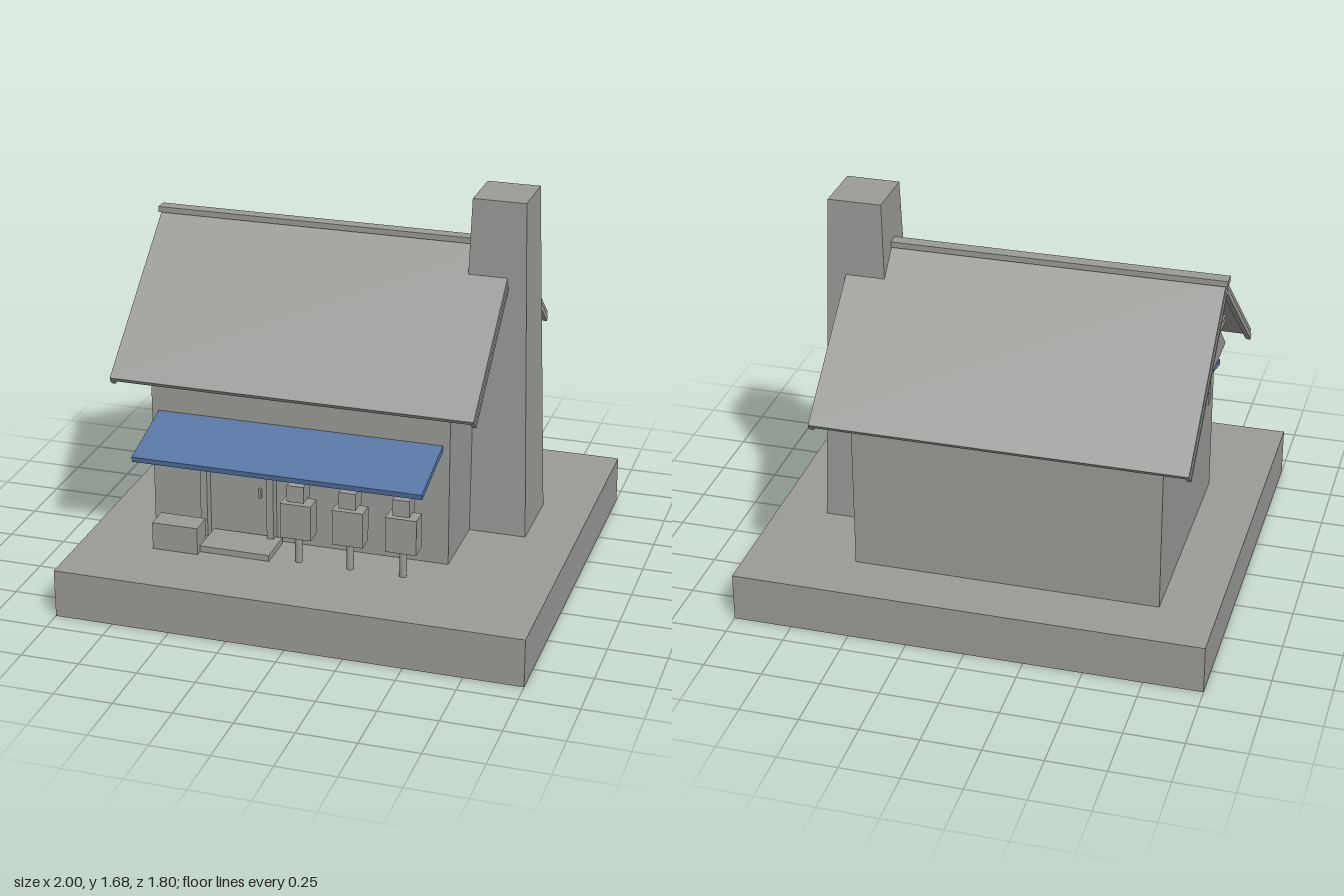
import * as THREE from 'three';

export function createModel() {
  const model = new THREE.Group();
  const grey = new THREE.MeshStandardMaterial({ color: 0x9a9a97 });
  grey.name = 'stone grey';
  const blue = new THREE.MeshStandardMaterial({ color: 0x5877a4 });
  blue.name = 'awning blue';
  const RIDGE_Z = -0.155;

  const add = (name, geometry, material = grey, parent = model) => {
    const mesh = new THREE.Mesh(geometry, material);
    mesh.name = name;
    parent.add(mesh);
    return mesh;
  };
  // Box given by its limits on each axis
  const box = (name, [x0, x1], [y0, y1], [z0, z1], parent = model) => {
    const g = new THREE.BoxGeometry(x1 - x0, y1 - y0, z1 - z0);
    g.translate((x0 + x1) / 2, (y0 + y1) / 2, (z0 + z1) / 2);
    return add(name, g, grey, parent);
  };
  // Side profile of [z, y] points, extruded from x0 to x1
  const profile = (name, points, x0, x1, material = grey) => {
    const shape = new THREE.Shape(points.map(([z, y]) => new THREE.Vector2(-z, y)));
    const g = new THREE.ExtrudeGeometry(shape, { depth: x1 - x0, bevelEnabled: false });
    g.rotateY(Math.PI / 2);
    g.translate(x0, 0, 0);
    return add(name, g, material);
  };

  // Plinth, walls and gable block
  box('base', [-1, 1], [0, 0.21], [-0.9, 0.9]);
  box('walls', [-0.76, 0.54], [0.21, 0.9], [-0.66, 0.36]);
  profile('gable', [[0.39, 0.9], [RIDGE_Z, 1.405], [-0.695, 0.9]], -0.8, 0.58);

  // Roof slabs with rafters under both ends
  const run = 0.65, rise = 0.54, len = Math.hypot(run, rise);
  const slope = (side, top, bottom) => {
    const eave = (t) => [RIDGE_Z + side * (run - t * rise / len), 0.925 - t * run / len];
    const ridge = (t) => [RIDGE_Z, 0.925 + rise - t * len / run];
    return [eave(top), ridge(top), ridge(bottom), eave(bottom)];
  };
  for (const side of [1, -1]) {
    const label = side > 0 ? 'front' : 'back';
    profile(label + 'Roof', slope(side, 0, 0.024), -0.89, 0.67);
    for (const x of [-0.895, 0.655])
      profile(label + 'Rafter', slope(side, 0.022, 0.046), x, x + 0.02);
  }
  box('ridgeCap', [-0.9, 0.67], [1.45, 1.475], [RIDGE_Z - 0.028, RIDGE_Z + 0.028]);

  // Gable end timbers
  for (const [x0, x1] of [[-0.84, -0.8], [0.58, 0.62]]) {
    box('tieBeam', [x0, x1], [1.13, 1.16], [RIDGE_Z - 0.3, RIDGE_Z + 0.3]);
    box('kingPost', [x0, x1], [0.9, 1.41], [RIDGE_Z - 0.018, RIDGE_Z + 0.018]);
  }

  // Tapered chimney
  const chimney = new THREE.BoxGeometry(1, 1.47, 1);
  const p = chimney.attributes.position;
  for (let i = 0; i < p.count; i++) {
    const top = p.getY(i) > 0;
    p.setX(i, 0.627 + p.getX(i) * (top ? 0.226 : 0.316));
    p.setZ(i, RIDGE_Z + p.getZ(i) * (top ? 0.244 : 0.34));
    p.setY(i, top ? 1.68 : 0.21);
  }
  chimney.computeVertexNormals();
  add('chimney', chimney);

  // Sloping awning
  profile('awning', [[0.36, 0.745], [0.674, 0.664], [0.668, 0.64], [0.36, 0.719]], -0.73, 0.51, blue);

  // Doorway, step and crate
  box('leftDoorPost', [-0.24, -0.21], [0.21, 0.7], [0.36, 0.405]);
  box('rightDoorPost', [-0.535, -0.505], [0.21, 0.7], [0.36, 0.405]);
  box('doorLintel', [-0.505, -0.24], [0.67, 0.7], [0.36, 0.405]);
  box('doorHandle', [-0.286, -0.274], [0.405, 0.445], [0.36, 0.378]);
  box('doorStep', [-0.485, -0.18], [0.21, 0.237], [0.38, 0.555]);
  box('crate', [-0.685, -0.485], [0.21, 0.33], [0.48, 0.585]);

  // Row of three pumps
  for (const x of [-0.062, 0.162, 0.39]) {
    const pump = new THREE.Group();
    pump.name = 'pump';
    pump.position.set(x, 0, 0.515);
    model.add(pump);
    add('pumpPost', new THREE.CylinderGeometry(0.016, 0.016, 0.3, 12), grey, pump).position.y = 0.36;
    box('pumpBody', [-0.066, 0.066], [0.33, 0.485], [-0.04, 0.04], pump);
    box('pumpHead', [-0.036, 0.036], [0.497, 0.57], [-0.04, 0.04], pump);
  }
  return model;
}
